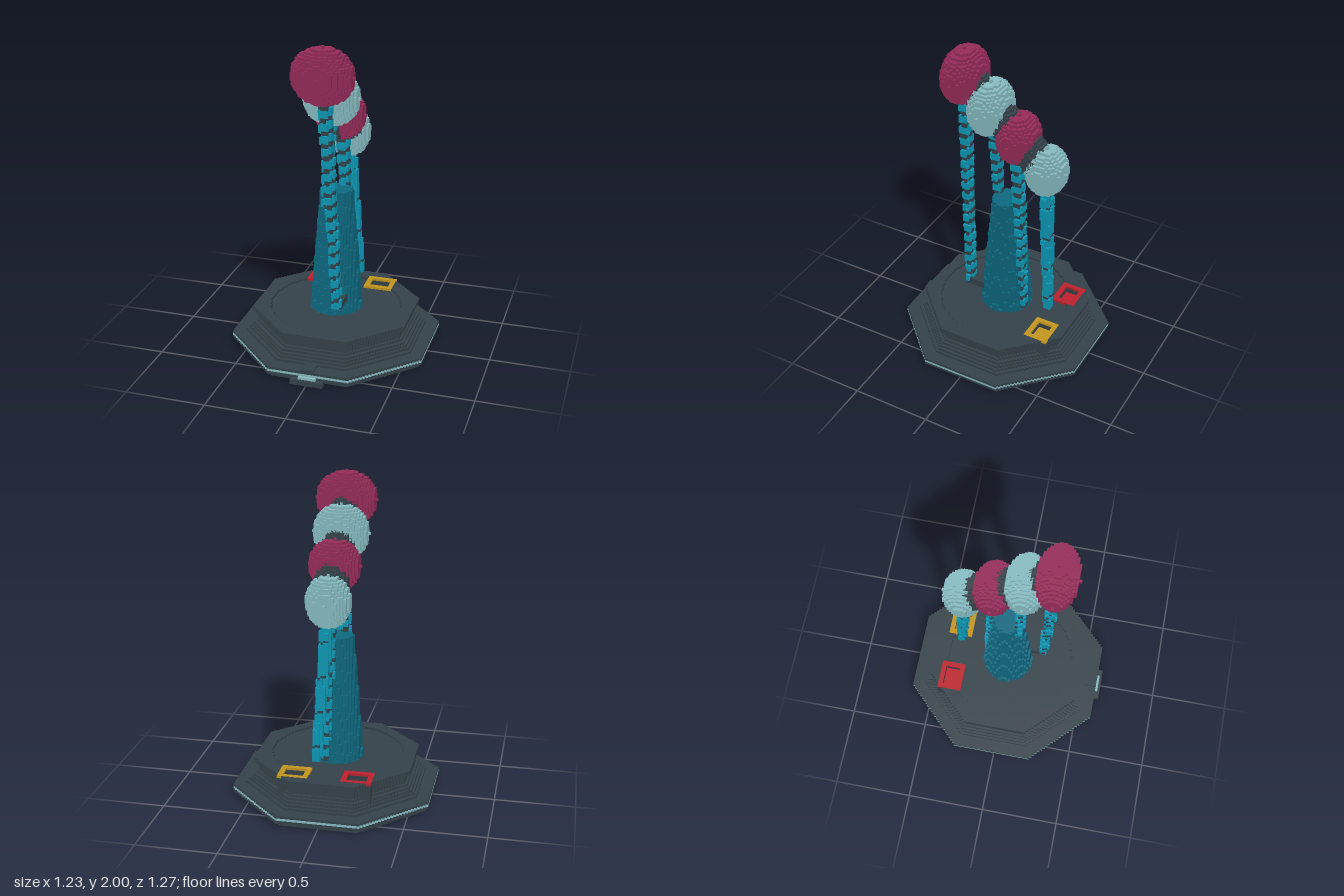
import * as THREE from 'three';

const H = 1 / 64; // edge of one block

const paint = (name, color) => {
  const m = new THREE.MeshStandardMaterial({ color });
  m.name = name;
  return m;
};

// Builds a blocky mesh from an inside(x, y, z) rule over inclusive cell ranges.
// Only exposed faces are made, joined into strips along one axis.
function blocks(parent, name, material, min, max, inside = () => true) {
  const filled = (c) =>
    c.every((v, i) => v >= min[i] && v <= max[i]) && inside(c[0], c[1], c[2]);
  const pos = [];
  const put = (c) => pos.push((c[0] - 0.5) * H, c[1] * H, (c[2] - 0.5) * H);
  for (let a = 0; a < 3; a++) {
    const u = (a + 1) % 3, v = (a + 2) % 3;
    for (const s of [1, -1]) {
      const open = (c) => {
        if (!filled(c)) return false;
        const n = [...c];
        n[a] += s;
        return !filled(n);
      };
      for (let i = min[a]; i <= max[a]; i++) for (let k = min[v]; k <= max[v]; k++) {
        let start = null;
        for (let j = min[u]; j <= max[u] + 1; j++) {
          const c = [];
          c[a] = i; c[u] = j; c[v] = k;
          const on = j <= max[u] && open(c);
          if (on && start === null) start = j;
          if (!on && start !== null) {
            const corner = (cu, cv) => {
              const p = [];
              p[a] = i + (s > 0 ? 1 : 0); p[u] = cu; p[v] = cv;
              return p;
            };
            const q = [corner(start, k), corner(j, k), corner(j, k + 1), corner(start, k + 1)];
            if (s < 0) q.reverse();
            for (const t of [0, 1, 2, 0, 2, 3]) put(q[t]);
            start = null;
          }
        }
      }
    }
  }
  const g = new THREE.BufferGeometry();
  g.setAttribute('position', new THREE.Float32BufferAttribute(pos, 3));
  g.computeVertexNormals();
  const mesh = new THREE.Mesh(g, material);
  mesh.name = name;
  parent.add(mesh);
  return mesh;
}

const octagon = (x, z, r) => {
  const ax = Math.abs(x), az = Math.abs(z + 1);
  return Math.max(ax, az) <= r && ax + az <= r * 1.414 + 0.3;
};

export function createModel() {
  const model = new THREE.Group();
  const dark = paint('charcoal', 0x36434b);
  const pale = paint('pale blue', 0x88bec4);
  const berry = paint('berry', 0x982c5a);
  const teal = paint('deep teal', 0x0e6a82);
  const bright = paint('bright teal', 0x0d9cba);
  const red = paint('red', 0xbf222d);
  const gold = paint('gold', 0xc5971f);

  // Octagonal base: half width of each layer, from the floor up
  const radii = [37, 38, 39, 39, 39, 34, 33, 32, 31, 30, 29, 29, 29, 29, 31, 31];
  const inTray = (x, z, m = 0) =>
    Math.abs(x) >= 7 + m && Math.abs(x) <= 18 - m && z >= -28 + m && z <= -19 - m;
  blocks(model, 'base', dark, [-39, 0, -40], [39, 15, 38], (x, y, z) => {
    if (y === 3) return octagon(x, z, 38);
    if (inTray(x, z)) {
      if (y === 15 || (y >= 12 && inTray(x, z, 2))) return false;
      if (y >= 6) return true; // tray supports
    }
    if (y === 15 && Math.hypot(x, z) <= 26.5) return false; // sunken disc
    return octagon(x, z, radii[y]);
  });
  blocks(model, 'baseStripe', pale, [-39, 3, -40], [39, 3, 38],
    (x, y, z) => octagon(x, z, 39) && !octagon(x, z, 38));

  // Front step and name plate ledge
  blocks(model, 'frontStep', dark, [-2, 4, 28], [2, 5, 38]);
  blocks(model, 'frontLedge', dark, [-6, 0, 38], [6, 1, 40]);
  blocks(model, 'ledgeStrip', pale, [-3, 2, 39], [3, 2, 39]);

  // Two framed trays at the back
  for (const [side, mat, label] of [[-1, red, 'red'], [1, gold, 'gold']]) {
    const x0 = side > 0 ? 7 : -18;
    blocks(model, label + 'TrayFrame', mat, [x0, 15, -28], [x0 + 11, 15, -19],
      (x, y, z) => !inTray(x, z, 2));
    blocks(model, label + 'TrayFloor', mat, [x0 + 2, 12, -26], [x0 + 9, 12, -21]);
  }

  // Tapering tower
  blocks(model, 'tower', teal, [-11, 14, -12], [11, 65, 10], (x, y, z) => {
    const t = (y - 14) / 51;
    const rx = 10.3 - 3.9 * t, rz = 10.3 - 4.9 * t;
    return (x / rx) ** 2 + ((z + 1) / rz) ** 2 <= 1;
  });

  // Row of four balls: centre y, centre z, radii
  const balls = [
    { y: 116, z: 17, r: [12, 11, 8], mat: berry },
    { y: 105, z: 6, r: [11, 11, 8], mat: pale },
    { y: 95, z: -6, r: [10, 10, 8], mat: berry },
    { y: 84, z: -18, r: [8.6, 10, 8], mat: pale },
  ];
  balls.forEach((b, i) => {
    const [rx, ry, rz] = b.r;
    blocks(model, 'ball' + (i + 1), b.mat, [-12, b.y - 11, b.z - 8], [12, b.y + 11, b.z + 8],
      (x, y, z) => (x / rx) ** 2 + ((y - b.y) / ry) ** 2 + ((z - b.z) / rz) ** 2 <= 1);
    if (i === 0) return;
    // Slanted neck to the ball in front, with a thin fin below it
    const p = balls[i - 1];
    const dy = p.y - b.y, dz = p.z - b.z, len = Math.hypot(dy, dz);
    blocks(model, 'neck' + i, dark, [-8, b.y - 6, b.z - 6], [8, p.y + 6, p.z + 6], (x, y, z) => {
      const along = ((y - b.y) * dy + (z - b.z) * dz) / len;
      const across = ((y - b.y) * dz - (z - b.z) * dy) / len;
      return along >= 1 && along <= len - 1 && Math.hypot(x, across) <= 6.6;
    });
    blocks(model, 'fin' + i, dark, [-1, b.y - 8, b.z + 2], [1, b.y + 10, b.z + 8]);
  });

  // Banded legs: start and end as [x, y, z], and how much of each band is dark
  const legs = [
    { from: [0.5, 110, 17], to: [4.5, 21, 13.5], gap: 2, period: 5 },
    { from: [-1, 98, 5], to: [-2.5, 60, 4], gap: 2, period: 5 },
    { from: [1, 88, -6], to: [3, 16, -10], gap: 2, period: 5 },
    { from: [0, 80, -18], to: [4, 21, -22], gap: 1, period: 14 },
  ];
  legs.forEach((leg, i) => {
    const [x0, y0, z0] = leg.from, [x1, y1, z1] = leg.to;
    const shape = (isBand) => (x, y, z) => {
      const t = (y0 - y) / (y0 - y1);
      const dx = x - x0 - (x1 - x0) * t, dz = z - z0 - (z1 - z0) * t;
      const turn = Math.round(Math.atan2(dz, dx) * 0.6);
      const band = (y + turn + 100) % leg.period < leg.gap;
      const r = 2.5 - 0.8 * t + (band ? -0.25 : 0.15);
      return band === isBand && Math.hypot(dx, dz) <= r;
    };
    const lo = [-6, y1, Math.min(z0, z1) - 4], hi = [8, y0, Math.max(z0, z1) + 4];
    blocks(model, 'leg' + (i + 1), bright, lo, hi, shape(false));
    blocks(model, 'leg' + (i + 1) + 'Bands', dark, lo, hi, shape(true));
  });
  blocks(model, 'frontFoot', dark, [3, 21, 7], [6, 23, 14]);

  return model;
}
